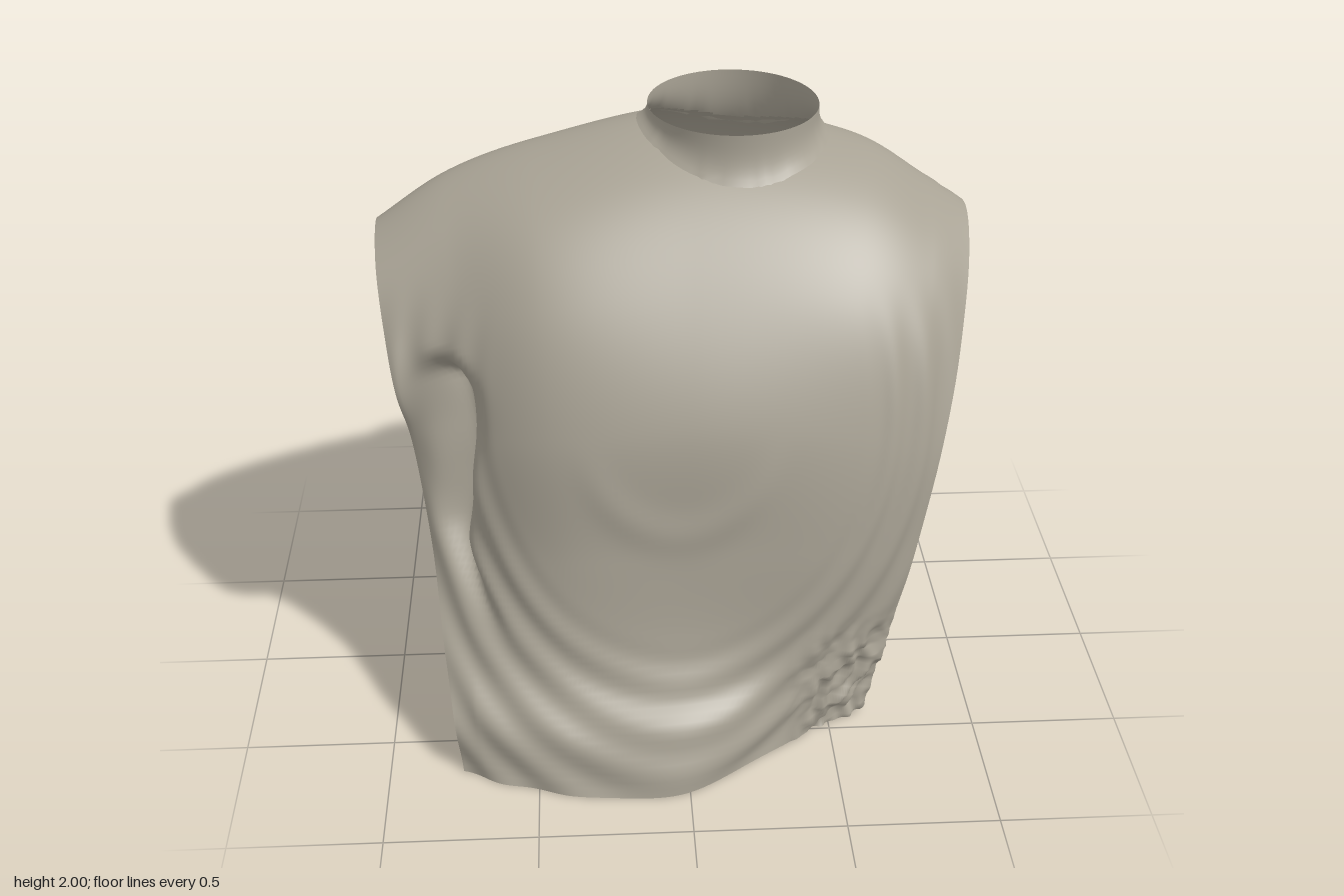
import * as THREE from 'three';

// Heights of the profile points, as fractions of each section's top
const F = [0, 0.2, 0.4, 0.62, 0.82, 0.95, 1, 0.95, 0.82, 0.62, 0.4, 0.2, 0];

// Sections from right edge (u = -1) to left edge (u = 1):
// depth z from the front hem, over the shoulder, down to the back hem
const section = (u, top, ...depths) => new THREE.CatmullRomCurve3(
  depths.map((z, i) => new THREE.Vector3(u, F[i] * top, z)));
const profiles = [
  section(-1, 1.66, .66, .5, .23, .14, .19, .06, -.18, -.29, -.36, -.28, -.07, .1, .03),
  section(-.75, 1.79, .74, .57, .43, .35, .23, .03, -.25, -.4, -.54, -.52, -.36, -.22, -.17),
  section(-.45, 1.88, .8, .63, .55, .49, .33, .08, -.3, -.47, -.68, -.69, -.59, -.47, -.4),
  section(.05, 1.96, .82, .64, .57, .52, .3, .02, -.3, -.59, -.77, -.81, -.73, -.6, -.53),
  section(.6, 1.87, .56, .56, .55, .48, .31, .05, -.28, -.54, -.73, -.76, -.69, -.58, -.5),
  section(.85, 1.74, .46, .48, .49, .43, .28, .05, -.25, -.47, -.66, -.68, -.6, -.47, -.42),
  section(1, 1.66, .39, .42, .42, .37, .21, .01, -.2, -.42, -.6, -.61, -.52, -.4, -.33),
];
const NU = 130, NV = 190;
const NECK = { x: 0.2, z: -0.3, rx: 0.285, rz: 0.31, flare: 0.13 };

const step = THREE.MathUtils.smoothstep;
const bump = (x, w) => Math.exp(-(x * x) / (w * w));
const neckRadius = (x, z) => Math.hypot((x - NECK.x) / NECK.rx, (z - NECK.z) / NECK.rz);

// Both sides are cut off by slanted planes
const xAt = (u, y) => THREE.MathUtils.lerp(-0.755 - 0.142 * y, 0.63 + 0.211 * y, (u + 1) / 2);

// Offset along the normal for cloth folds, armpit crease and rough hem
function relief(x, y, front) {
  if (!front) {
    // folds fanning out from the left shoulder
    const dx = 0.85 - x, dy = 1.95 - y;
    const a = Math.atan2(dx, dy);
    const fade = step(Math.hypot(dx, dy), 0.15, 0.6) * (1 - step(a, 0.75, 1.0));
    return 0.016 * fade * (Math.abs(Math.sin(a * 13)) - 0.6);
  }
  // hanging swags
  const d = Math.hypot((x + 0.02) / 0.85, (y - 1.25) / 1.1);
  let r = 0.007 * step(d, 0.68, 0.85) * (1 - step(y, 1.2, 1.6)) * Math.sin(d * 48);
  // lower edge of the chest
  r += 0.01 * bump(d - 0.36, 0.06) * step(1.2 - y, 0, 0.3);
  // swelling roll above the hem
  r += 0.04 * bump(y - 0.17, 0.12) * (1 - step(x, 0.1, 0.4));
  // slit under the right sleeve, widest at the armpit
  const line = -0.77 + 0.2 * step(0.75 - y, 0, 0.4);
  const width = 0.04 + 0.035 * bump(y - 1.18, 0.2);
  r -= 0.14 * bump(x - line, width) * step(y, 0.42, 0.95) * (1 - step(y, 1.25, 1.38));
  // hanging edge of the sleeve
  r += 0.07 * bump(x + 0.92, 0.06) * bump(y - 1.18, 0.15);
  // crumpled left hem corner
  const rough = step(x, 0.3, 0.5) * (1 - step(y, 0.25, 0.5));
  r += 0.018 * rough * Math.sin(x * 45 + 4 * Math.sin(y * 21)) * Math.sin(y * 38 + 3 * Math.sin(x * 27));
  return r;
}

function makeGeometry(pos, index) {
  const geo = new THREE.BufferGeometry();
  geo.setAttribute('position', new THREE.Float32BufferAttribute(pos, 3));
  geo.setIndex(index);
  geo.computeVertexNormals();
  return geo;
}

// Cloth shell lofted across the sections, with a hole left for the neck
function buildGarment() {
  const pos = [], index = [];
  for (let j = 0; j <= NV; j++) {
    const across = new THREE.CatmullRomCurve3(profiles.map(c => c.getPoint(j / NV)));
    for (let i = 0; i <= NU; i++) {
      const p = across.getPoint(i / NU);
      pos.push(xAt(p.x, p.y), p.y, p.z);
    }
  }
  const inNeck = k => pos[3 * k + 1] > 1.6 && neckRadius(pos[3 * k], pos[3 * k + 2]) < 1;
  for (let j = 0; j < NV; j++) for (let i = 0; i < NU; i++) {
    const a = j * (NU + 1) + i, b = a + 1, c = b + NU + 1, d = a + NU + 1;
    if (![a, b, c, d].some(inNeck)) index.push(a, b, c, a, c, d);
  }
  const geo = makeGeometry(pos, index);

  const P = geo.attributes.position, N = geo.attributes.normal;
  for (let k = 0; k < P.count; k++) {
    const row = Math.floor(k / (NU + 1)), u = (k % (NU + 1)) / NU;
    const x = P.getX(k), y = P.getY(k), z = P.getZ(k);
    const r = relief(x, y, row < NV / 2) * (1 - step(y, 1.7, 1.95));
    // cut edges only move in depth, so they stay in their planes
    const side = r * Math.min(1, 12 * u, 12 * (1 - u));
    const rise = row % NV === 0 ? 0 : side;
    P.setXYZ(k, x + N.getX(k) * side, Math.max(0, y + N.getY(k) * rise), z + N.getZ(k) * r);
  }
  geo.computeVertexNormals();
  return geo;
}

// Neck tube, its flared lower rim resting on the garment around the hole
function buildNeck(garment) {
  const P = garment.attributes.position, n = 72, rows = 8, pos = [], index = [];
  const rim = 1 + NECK.flare;
  for (let i = 0; i <= n; i++) {
    const t = (i / n) * Math.PI * 2, c = Math.cos(t), s = Math.sin(t);
    const bx = NECK.x + c * NECK.rx * rim, bz = NECK.z + s * NECK.rz * rim;
    let best = Infinity, by = 1.85;
    for (let k = 0; k < P.count; k++) {
      if (P.getY(k) < 1.6) continue;
      const d = (P.getX(k) - bx) ** 2 + (P.getZ(k) - bz) ** 2;
      if (d < best) { best = d; by = P.getY(k); }
    }
    for (let j = 0; j <= rows; j++) {
      const h = j / rows, flare = 1 + NECK.flare * (1 - h) ** 3;
      pos.push(NECK.x + c * NECK.rx * flare, THREE.MathUtils.lerp(by, 2, h), NECK.z + s * NECK.rz * flare);
    }
  }
  for (let i = 0; i < n; i++) for (let j = 0; j < rows; j++) {
    const a = i * (rows + 1) + j, b = a + rows + 1;
    index.push(a, a + 1, b, b, a + 1, b + 1);
  }
  return makeGeometry(pos, index);
}

export function createModel() {
  const group = new THREE.Group();
  group.name = 'drapedTorso';
  const material = new THREE.MeshStandardMaterial({ color: 0xa8a294, side: THREE.DoubleSide });
  const add = (name, geo) => {
    const mesh = new THREE.Mesh(geo, material);
    mesh.name = name;
    group.add(mesh);
  };
  const garment = buildGarment();
  add('garment', garment);
  add('neck', buildNeck(garment));
  return group;
}
